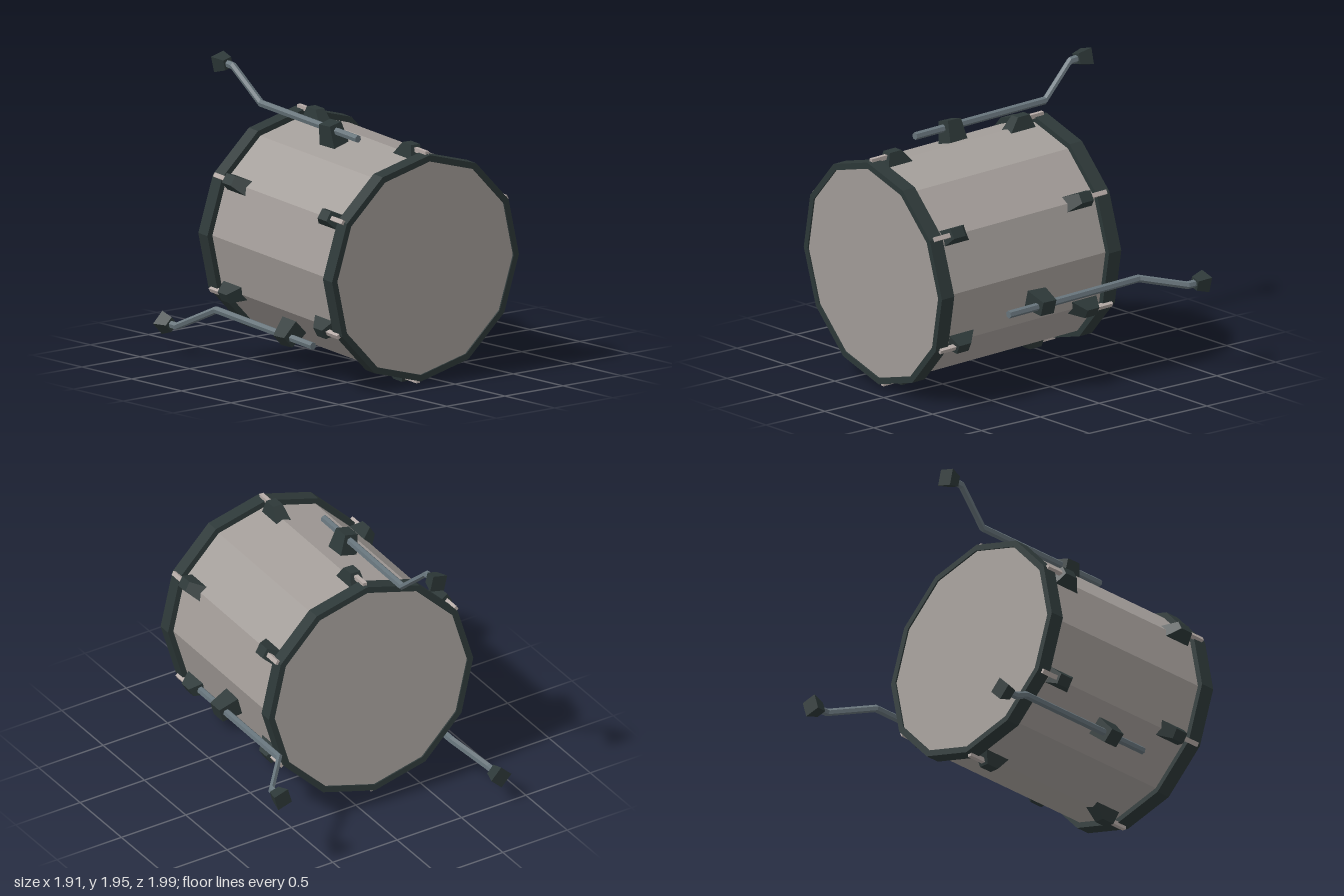
import * as THREE from 'three';

const mat = (name, color) => {
  const m = new THREE.MeshStandardMaterial({ color });
  m.name = name;
  return m;
};

// Faceted mesh: every face gets its own normal
function part(name, geometry, material) {
  const g = geometry.index ? geometry.toNonIndexed() : geometry;
  g.computeVertexNormals();
  const mesh = new THREE.Mesh(g, material);
  mesh.name = name;
  return mesh;
}

// Box from y0 to y1 whose upper face has its own width and z range
function taper(y0, y1, w0, w1, [a0, b0], [a1, b1]) {
  const g = new THREE.BoxGeometry(1, 1, 1);
  const p = g.attributes.position;
  for (let i = 0; i < p.count; i++) {
    const top = p.getY(i) > 0;
    const front = p.getZ(i) > 0;
    p.setXYZ(i, p.getX(i) * (top ? w1 : w0), top ? y1 : y0,
      top ? (front ? b1 : a1) : (front ? b0 : a0));
  }
  return g;
}

const SIDES = 12, R_SHELL = 0.725, R_HOOP = 0.765;
const FRONT = new THREE.Vector3(-0.195, 0.795, 0.93);
const BACK = new THREE.Vector3(-0.106, 0.884, -0.52);
const LENGTH = FRONT.distanceTo(BACK);

// Point at a radius and angle around the leaning drum axis, at height z
function aroundAxis(r, angle, z) {
  const c = FRONT.clone().lerp(BACK, (FRONT.z - z) / (FRONT.z - BACK.z));
  return new THREE.Vector3(c.x + r * Math.cos(angle), c.y + r * Math.sin(angle), z);
}

export function createModel() {
  const shellGrey = mat('shellGrey', 0xa39d99);
  const darkTrim = mat('darkTrim', 0x2d3838);
  const steel = mat('steel', 0x66737a);
  const paleMetal = mat('paleMetal', 0xb5aaa6);

  const model = new THREE.Group();
  model.name = 'drum';

  // Drum body, its axis along local z
  const body = new THREE.Group();
  body.name = 'body';
  body.position.copy(FRONT).add(BACK).multiplyScalar(0.5);
  body.quaternion.setFromUnitVectors(new THREE.Vector3(0, 0, 1), FRONT.clone().sub(BACK).normalize());
  model.add(body);

  body.add(part('shell',
    new THREE.CylinderGeometry(R_SHELL, R_SHELL, LENGTH - 0.04, SIDES, 1, true).rotateX(Math.PI / 2), shellGrey));

  // Each end: head, hoop, six lugs and tension rods
  const h = LENGTH / 2;
  for (const [name, turn] of [['frontEnd', 0], ['backEnd', Math.PI]]) {
    const end = new THREE.Group();
    end.name = name;
    end.rotation.y = turn;
    body.add(end);

    end.add(part('head',
      new THREE.CylinderGeometry(R_SHELL, R_SHELL, 0.02, SIDES).rotateX(Math.PI / 2).translate(0, 0, h - 0.02), shellGrey));

    const ring = [[R_HOOP, h - 0.1], [R_HOOP, h], [0.722, h], [0.722, h - 0.1], [R_HOOP, h - 0.1]]
      .map(([x, y]) => new THREE.Vector2(x, y));
    end.add(part('hoop', new THREE.LatheGeometry(ring, SIDES).rotateX(Math.PI / 2), darkTrim));

    for (let k = 0; k < 6; k++) {
      const tuner = new THREE.Group();
      tuner.name = 'tuner';
      tuner.rotation.z = k * Math.PI / 3;
      tuner.add(part('lug', taper(0.69, 0.8, 0.115, 0.07, [h - 0.345, h - 0.125], [h - 0.255, h - 0.16]), darkTrim));
      tuner.add(part('tensionRod',
        new THREE.BoxGeometry(0.03, 0.03, 0.13).translate(0, 0.768, h - 0.095), paleMetal));
      end.add(tuner);
    }
  }

  // Three bent legs with brackets and feet
  const path = [[0.8, 0.44], [0.798, -0.61], [1.005, -0.85], [1.008, -0.93]];
  for (let k = 0; k < 3; k++) {
    const angle = THREE.MathUtils.degToRad(103.8 + 120 * k);
    const roll = angle - Math.PI / 2;
    const leg = new THREE.Group();
    leg.name = 'leg';
    model.add(leg);

    // Bar: one hexagonal section per path point
    const bar = new THREE.CylinderGeometry(0.026, 0.026, 3, 6, 3);
    const p = bar.attributes.position;
    for (let i = 0; i < p.count; i++) {
      const [r, z] = path[Math.round(p.getY(i) + 1.5)];
      const v = new THREE.Vector3(p.getX(i), p.getZ(i), 0)
        .applyAxisAngle(new THREE.Vector3(0, 0, 1), roll).add(aroundAxis(r, angle, z));
      p.setXYZ(i, v.x, v.y, v.z);
    }
    leg.add(part('bar', bar, steel));

    const bracket = part('bracket', taper(-0.11, 0.045, 0.13, 0.1, [-0.075, 0.075], [-0.055, 0.055]), darkTrim);
    bracket.position.copy(aroundAxis(0.8, angle, 0.15));
    bracket.rotation.z = roll;
    leg.add(bracket);

    const foot = part('foot',
      taper(0, 0.095, 0.07, 0.11, [-0.035, 0.035], [-0.055, 0.055]).rotateX(-Math.PI / 2), darkTrim);
    foot.position.copy(aroundAxis(1.008, angle, -0.905));
    foot.rotation.z = roll;
    leg.add(foot);
  }
  return model;
}
